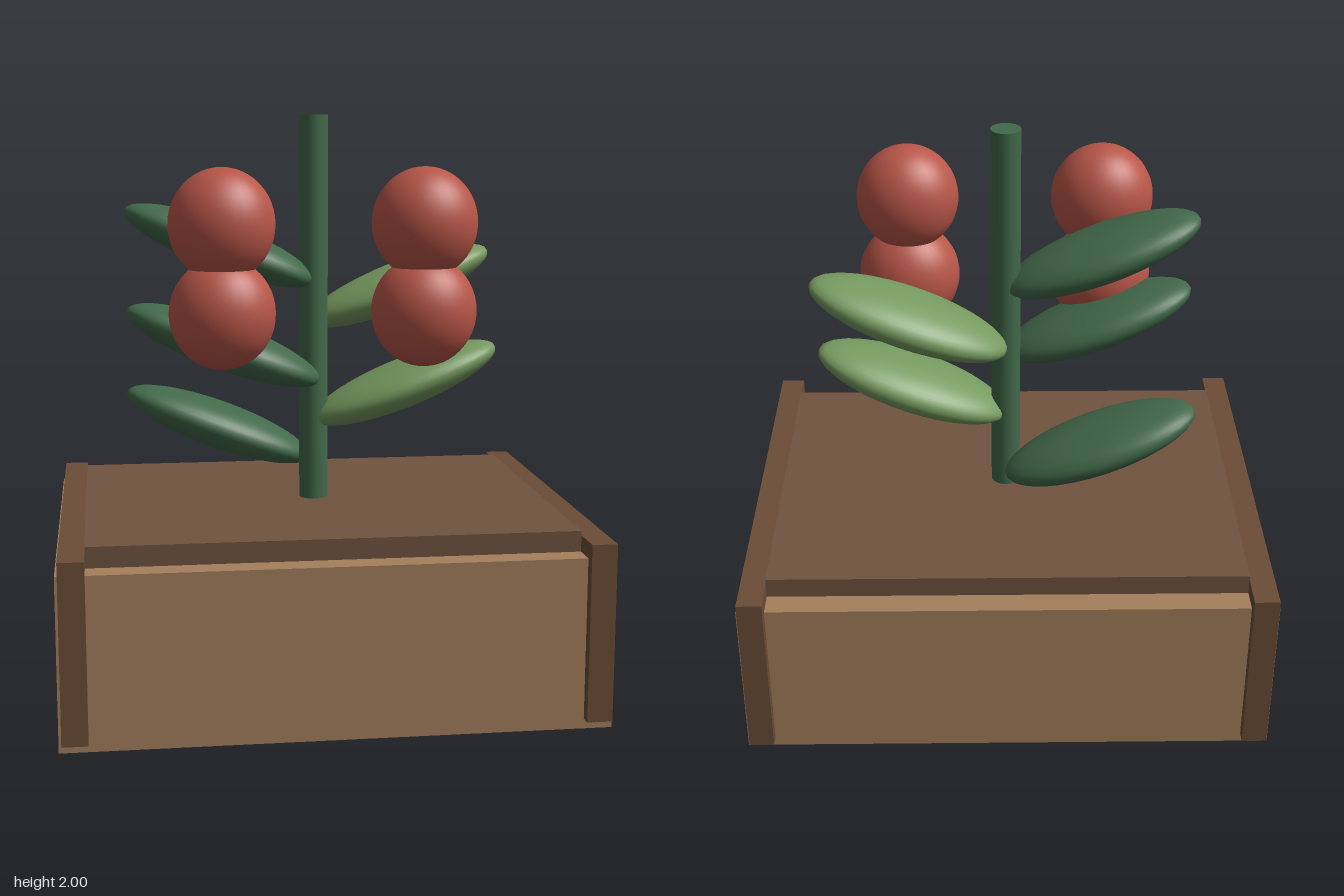
import * as THREE from 'three';

const mat = (color) => new THREE.MeshStandardMaterial({ color });

export function createModel() {
  const model = new THREE.Group();
  const wood = mat(0xa47f5c), darkWood = mat(0x6b4d36), earth = mat(0x70533f);
  const green = mat(0x42694a), lightGreen = mat(0x75995f), red = mat(0xb85648);

  const add = (name, geometry, material, x, y, z) => {
    const mesh = new THREE.Mesh(geometry, material);
    mesh.name = name;
    mesh.position.set(x, y, z);
    model.add(mesh);
    return mesh;
  };

  // Planter box with raised soil
  add('planterBox', new THREE.BoxGeometry(1.81, 0.58, 1.41), wood, 0, 0.29, 0);
  add('soil', new THREE.BoxGeometry(1.62, 0.15, 1.24), earth, 0, 0.575, 0);

  // End boards standing proud of the box at front, back and top
  for (const side of [-1, 1]) {
    add(side > 0 ? 'leftEndBoard' : 'rightEndBoard',
      new THREE.BoxGeometry(0.085, 0.6, 1.49), darkWood, side * 0.8525, 0.335, 0);
  }

  // Stem
  add('stem', new THREE.CylinderGeometry(0.051, 0.051, 1.36, 24), green, 0, 1.32, 0);

  // Leaves: flattened ellipsoids rising outwards; [side, y, z]
  const leafGeometry = new THREE.SphereGeometry(1, 32, 20).scale(0.353, 0.082, 0.17);
  const leaves = [
    [-1, 0.89, -0.15], [-1, 1.22, 0.145], [-1, 1.55, 0],
    [1, 1.055, 0], [1, 1.387, -0.15],
  ];
  for (const [side, y, z] of leaves) {
    const leaf = add('leaf', leafGeometry, side > 0 ? lightGreen : green, side * 0.327, y, z);
    leaf.rotation.z = side * 0.37;
  }

  // Fruits: two stacked on each side, in front of the leaves
  const fruitGeometry = new THREE.SphereGeometry(1, 32, 24).scale(0.179, 0.188, 0.157);
  for (const side of [-1, 1]) {
    for (const y of [1.345, 1.642]) add('fruit', fruitGeometry, red, side * 0.341, y, 0.28);
  }

  return model;
}
